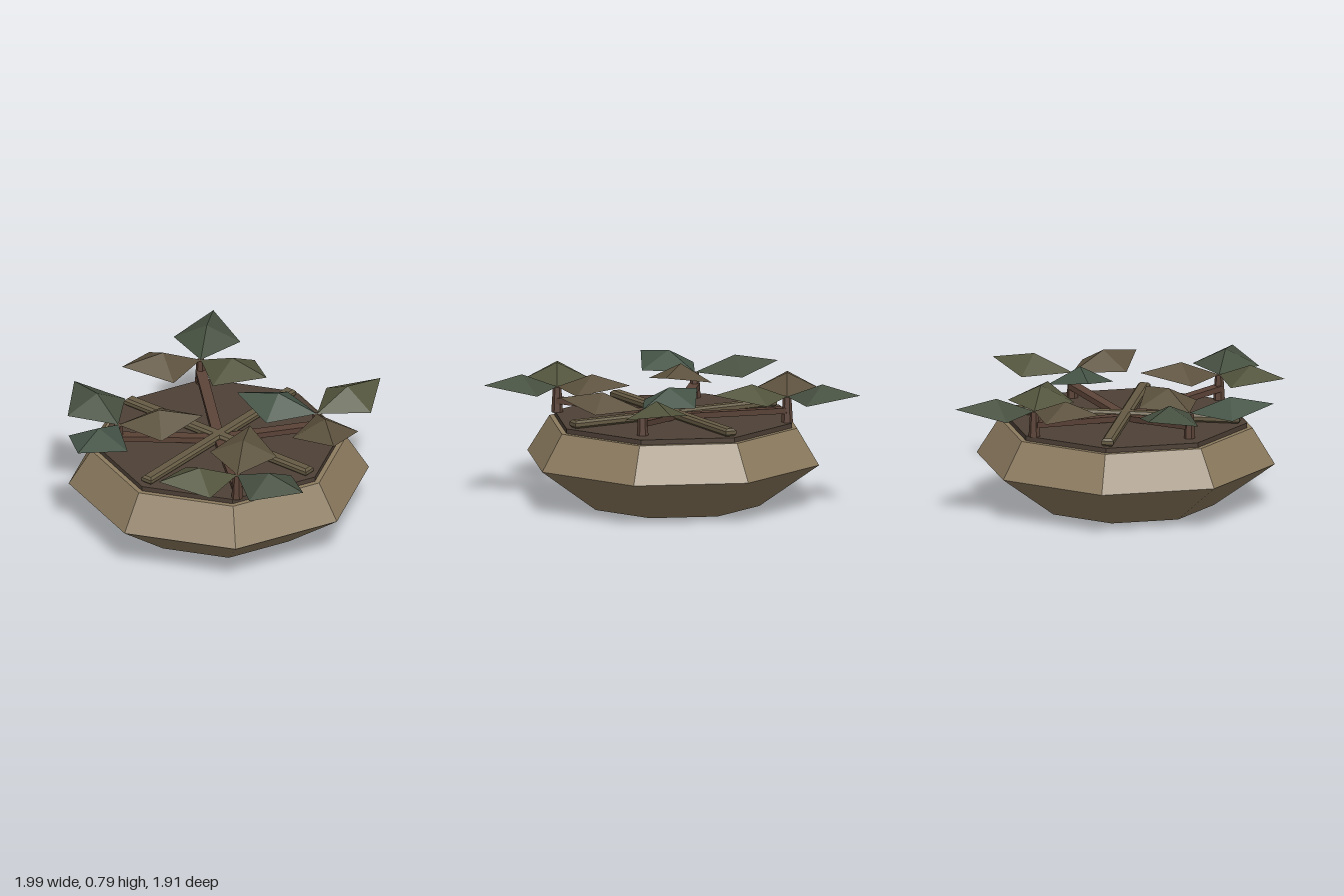
import * as THREE from 'three';

const CX = -0.07, CZ = -0.025; // centre of the planter

function mat(color, side = THREE.FrontSide) {
  return new THREE.MeshStandardMaterial({ color, flatShading: true, side });
}

function add(parent, name, geometry, material, x = 0, y = 0, z = 0) {
  const mesh = new THREE.Mesh(geometry, material);
  mesh.name = name;
  mesh.position.set(x, y, z);
  parent.add(mesh);
  return mesh;
}

// Low bar with chamfered edges, lying along x
function barGeometry(length, width, height, bevel) {
  const l = length / 2 - bevel, w = width / 2 - bevel;
  const shape = new THREE.Shape([
    new THREE.Vector2(-l, -w), new THREE.Vector2(l, -w),
    new THREE.Vector2(l, w), new THREE.Vector2(-l, w),
  ]);
  const g = new THREE.ExtrudeGeometry(shape, {
    depth: height - 2 * bevel, bevelEnabled: true, bevelSegments: 1,
    bevelSize: bevel, bevelThickness: bevel,
  });
  return g.rotateX(-Math.PI / 2).translate(0, bevel, 0);
}

// Diamond leaf pointing along +x: four facets around a raised middle
function leafGeometry() {
  const peak = [0.25, 0.107, 0];
  const rim = [[0, 0.005, 0], [0.26, 0.003, 0.207], [0.52, 0.063, 0], [0.26, 0.003, -0.207]];
  const p = [];
  rim.forEach((a, i) => p.push(...a, ...rim[(i + 1) % 4], ...peak));
  const g = new THREE.BufferGeometry();
  g.setAttribute('position', new THREE.Float32BufferAttribute(p, 3));
  g.computeVertexNormals();
  return g;
}

export function createModel() {
  const model = new THREE.Group();
  model.name = 'planter';
  const stone = mat(0x8c7b5f), soilMat = mat(0x4d4036);
  const wood = mat(0x655a43), bark = mat(0x5a4236);
  const green = mat(0x465040, THREE.DoubleSide);
  const teal = mat(0x465548, THREE.DoubleSide);
  const olive = mat(0x53553d, THREE.DoubleSide);
  const tan = mat(0x5d523e, THREE.DoubleSide);

  // Eight-sided bowl and the soil on top
  const bowl = new THREE.Group();
  bowl.name = 'bowl';
  model.add(bowl);
  add(bowl, 'bowlLower', new THREE.CylinderGeometry(0.93, 0.55, 0.275, 8, 1, true), stone, CX, 0.1375, CZ);
  add(bowl, 'bowlUpper', new THREE.CylinderGeometry(0.79, 0.93, 0.225, 8, 1, true), stone, CX, 0.3875, CZ);
  add(bowl, 'bowlRim', new THREE.CircleGeometry(0.79, 8).rotateX(-Math.PI / 2), stone, CX, 0.5, CZ);
  add(bowl, 'bowlBase', new THREE.CircleGeometry(0.55, 8).rotateX(Math.PI / 2), stone, CX, 0, CZ);
  add(model, 'soil', new THREE.CylinderGeometry(0.757, 0.757, 0.03, 8), soilMat, CX, 0.515, CZ);

  // Crossed bars
  const bar = barGeometry(1.43, 0.075, 0.05, 0.014);
  add(model, 'crossBar', bar, wood, CX, 0.528, CZ);
  add(model, 'crossBar', bar, wood, CX, 0.528, CZ).rotation.y = Math.PI / 2;

  // Four saplings: x, z, angle of the first leaf in degrees, leaf colours
  const leaf = leafGeometry();
  const trunk = new THREE.CylinderGeometry(0.026, 0.036, 0.16, 6);
  const saplings = [
    [-0.6, -0.51, 0, [olive, tan, green]],
    [0.47, 0.47, 0, [green, olive, tan]],
    [0.38, -0.43, 40, [tan, teal, olive]],
    [-0.49, 0.44, 80, [teal, green, tan]],
  ];
  for (const [x, z, turn, colours] of saplings) {
    const sapling = new THREE.Group();
    sapling.name = 'sapling';
    sapling.position.set(x, 0, z);
    model.add(sapling);
    add(sapling, 'trunk', trunk, bark, 0, 0.608, 0);
    colours.forEach((colour, i) => {
      add(sapling, 'leaf', leaf, colour, 0, 0.683, 0).rotation.y =
        -THREE.MathUtils.degToRad(turn + i * 120);
    });

    // Root sloping from the middle of the bowl up to the trunk
    const from = new THREE.Vector3(CX, 0.535, CZ), to = new THREE.Vector3(x, 0.605, z);
    const root = add(model, 'root', new THREE.BoxGeometry(0.065, 0.035, from.distanceTo(to)), bark);
    root.position.copy(from).lerp(to, 0.5);
    root.lookAt(to);
  }
  return model;
}
